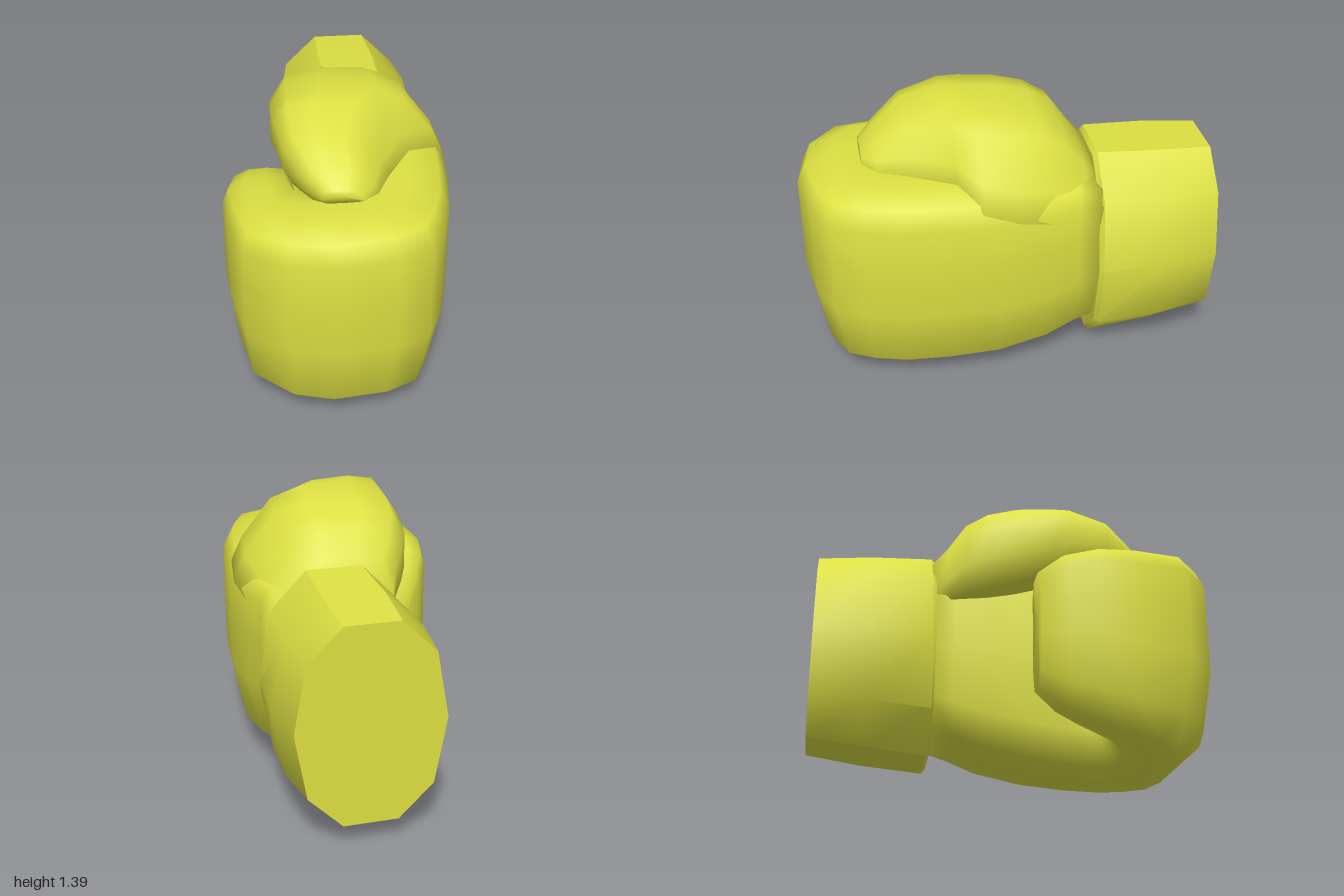
import * as THREE from 'three';
import { toCreasedNormals } from 'three/addons/utils/BufferGeometryUtils.js';

// Closed skin over a row of equally long rings of [x, y, z] points
function loft(rings, crease) {
  const n = rings[0].length;
  const pts = rings.flat();
  const faces = [];
  for (let r = 0; r < rings.length - 1; r++) {
    for (let i = 0; i < n; i++) {
      const a = r * n + i, b = r * n + (i + 1) % n;
      faces.push([a, b, b + n], [a, b + n, a + n]);
    }
  }
  // end caps, fanned from the middle of the first and last ring
  [0, rings.length - 1].forEach((r, end) => {
    const mid = [0, 1, 2].map(k => rings[r].reduce((s, p) => s + p[k], 0) / n);
    const c = pts.push(mid) - 1;
    for (let i = 0; i < n; i++) {
      const a = r * n + i, b = r * n + (i + 1) % n;
      faces.push(end ? [c, a, b] : [c, b, a]);
    }
  });
  // turn the faces outward
  const v = pts.map(p => new THREE.Vector3(...p));
  const volume = faces.reduce((s, [a, b, c]) => s + v[a].dot(v[b].clone().cross(v[c])), 0);
  if (volume < 0) faces.forEach(f => f.reverse());
  const geo = new THREE.BufferGeometry();
  geo.setAttribute('position', new THREE.Float32BufferAttribute(pts.flat(), 3));
  geo.setIndex(faces.flat());
  geo.computeVertexNormals();
  return crease ? toCreasedNormals(geo, crease) : geo;
}

const mix = THREE.MathUtils.lerp;

// Mitt: one padded slab running forward along the palm and curling back as fingers
function mittGeometry() {
  // section outline: share of the way from outer to inner side, share of the height
  const outline = [[0, 0.42], [0, 0.68], [0, 0.88], [0.08, 0.965], [0.3, 1], [0.6, 1], [0.86, 0.98], [1, 0.87],
    [1, 0.5], [1, 0.18], [0.86, 0.04], [0.6, 0], [0.36, 0.005], [0.1, 0.13]];
  // outer x, outer z, inner x, inner z, bottom, top
  const stations = [
    [0.46, -0.42, -0.14, -0.42, 0.15, 1.05],
    [0.48, -0.30, -0.13, -0.30, 0.12, 1.07],
    [0.52, -0.15, -0.12, -0.15, 0.07, 1.08],
    [0.55, 0.10, -0.10, 0.08, 0.03, 1.09],
    [0.53, 0.35, -0.08, 0.25, 0.01, 1.09],
    [0.50, 0.57, -0.08, 0.38, 0, 1.085],
    [0.45, 0.74, -0.09, 0.42, 0, 1.08],
    [0.38, 0.88, -0.10, 0.44, 0, 1.08],
    [0.22, 0.96, -0.12, 0.45, 0.005, 1.08],
    [-0.05, 1.00, -0.14, 0.45, 0.015, 1.075],
    [-0.27, 0.96, -0.16, 0.44, 0.03, 1.07],
    [-0.47, 0.81, -0.18, 0.40, 0.06, 1.045],
    [-0.53, 0.55, -0.19, 0.35, 0.09, 1.03],
    [-0.55, 0.36, -0.20, 0.27, 0.13, 1.01],
    [-0.51, 0.20, -0.21, 0.17, 0.19, 0.98],
    [-0.44, 0.08, -0.26, 0.07, 0.28, 0.90],
  ];
  return loft(stations.map(([ox, oz, ix, iz, lo, hi]) =>
    outline.map(([t, h]) => [mix(ox, ix, t), mix(lo, hi, h), mix(oz, iz, t)])));
}

// Thumb: lies over the top of the palm, its tip resting on the fingers
function thumbGeometry() {
  const outline = [[0.08, 0], [0, 0.3], [0, 0.68], [0.09, 0.94], [0.28, 1], [0.58, 0.97], [0.75, 0.85],
    [0.93, 0.4], [1, 0.1], [0.9, 0], [0.5, -0.04]];
  // z, right x, left x, bottom, top
  const slices = [
    [-0.42, -0.14, 0.46, 0.78, 1.08],
    [-0.35, -0.17, 0.47, 0.84, 1.16],
    [-0.26, -0.23, 0.49, 0.86, 1.285],
    [-0.15, -0.28, 0.52, 0.88, 1.34],
    [0.00, -0.30, 0.55, 0.92, 1.375],
    [0.17, -0.30, 0.53, 0.98, 1.39],
    [0.27, -0.29, 0.36, 1.03, 1.385],
    [0.47, -0.26, 0.23, 1.06, 1.325],
    [0.62, -0.17, 0.16, 1.07, 1.215],
    [0.69, -0.10, 0.09, 1.09, 1.155],
  ];
  return loft(slices.map(([z, x0, x1, lo, hi]) =>
    outline.map(([u, h]) => [mix(x0, x1, u), mix(lo, hi, h), z])));
}

// Cuff: ten-sided tapered sleeve with a crisp rim
function cuffGeometry() {
  const round = (c, p) => Math.sign(c) * Math.abs(c) ** p;
  // z, right x, left x, bottom, top
  const slices = [
    [-0.40, -0.20, 0.50, 0.08, 1.13],
    [-0.42, -0.215, 0.52, 0.06, 1.15],
    [-0.73, -0.25, 0.53, 0.085, 1.125],
    [-1.00, -0.22, 0.49, 0.12, 1.10],
  ];
  return loft(slices.map(([z, x0, x1, lo, hi]) =>
    Array.from({ length: 10 }, (_, i) => {
      const a = i / 10 * Math.PI * 2;
      const s = round(Math.sin(a), 0.85) / Math.sin(Math.PI * 0.4) ** 0.85;
      return [mix(x0, x1, 0.5 + round(Math.cos(a), 0.85) / 2), mix(lo, hi, 0.5 + s / 2), z];
    })), 0.75);
}

export function createModel() {
  const group = new THREE.Group();
  group.name = 'boxingGlove';
  const yellow = new THREE.MeshStandardMaterial({ color: 0xdde042 });
  yellow.name = 'yellow';
  const parts = { mitt: mittGeometry(), thumb: thumbGeometry(), cuff: cuffGeometry() };
  for (const [name, geo] of Object.entries(parts)) {
    const mesh = new THREE.Mesh(geo, yellow);
    mesh.name = name;
    group.add(mesh);
  }
  return group;
}
